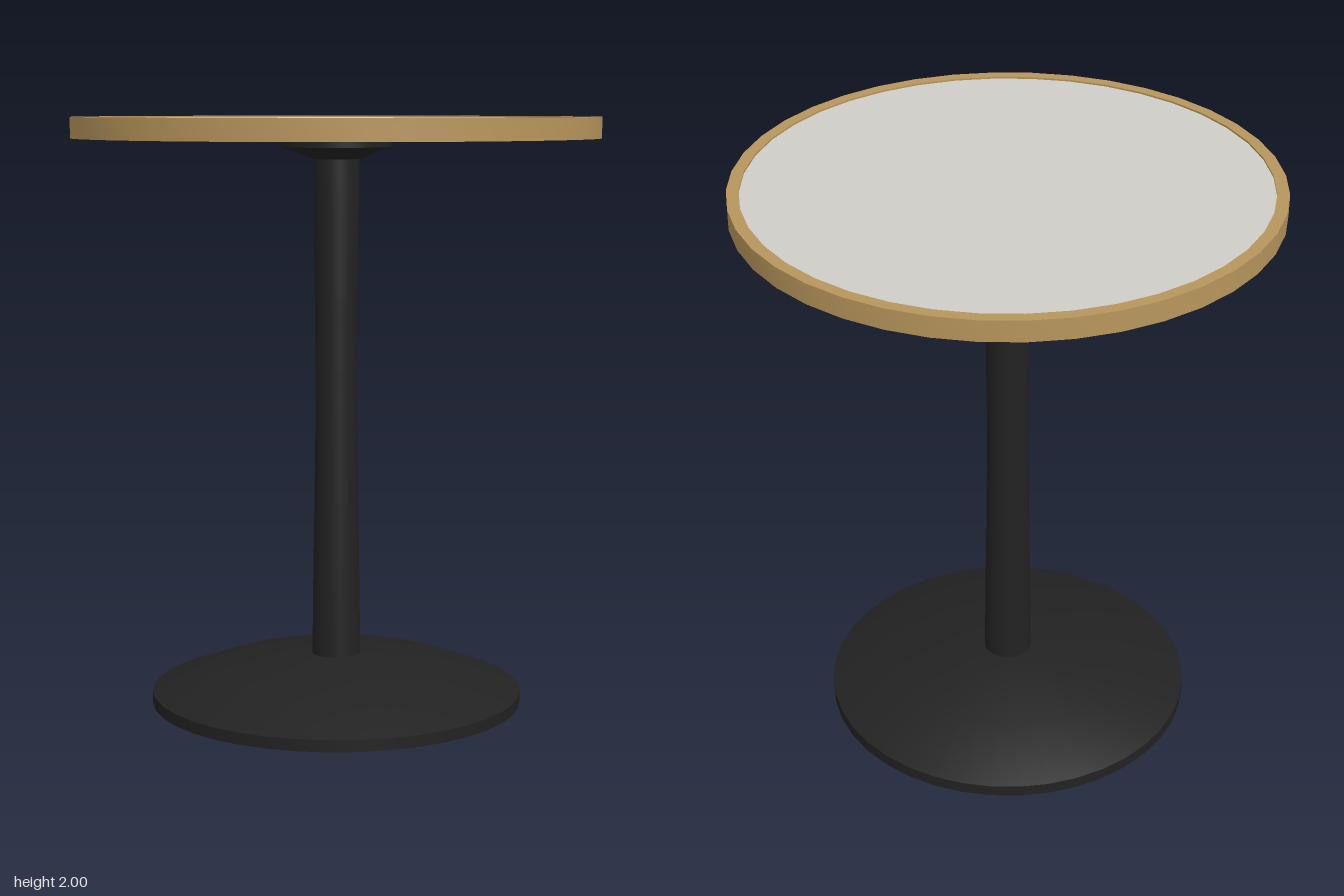
import * as THREE from 'three';
import { toCreasedNormals } from 'three/addons/utils/BufferGeometryUtils.js';

const SIDES = 40;

const mat = (name, color) => {
  const m = new THREE.MeshStandardMaterial({ color });
  m.name = name;
  return m;
};

// Turns a profile of [radius, height] points, listed bottom to top on the outside
function turned(name, points, material, crease = 0.5) {
  const profile = points.map(([r, y]) => new THREE.Vector2(r, y));
  const geometry = toCreasedNormals(new THREE.LatheGeometry(profile, SIDES), crease);
  const mesh = new THREE.Mesh(geometry, material);
  mesh.name = name;
  return mesh;
}

export function createModel() {
  const group = new THREE.Group();
  group.name = 'pedestalTable';

  const black = mat('black metal', 0x222222);
  const brass = mat('warm brass', 0xb8965c);
  const stone = mat('pale stone', 0xcfcdc8);

  // Low domed foot
  group.add(turned('base', [
    [0, 0], [0.635, 0], [0.635, 0.04], [0.42, 0.12], [0.12, 0.163], [0, 0.163],
  ], black));

  // Column with a slightly narrowed waist
  group.add(turned('column', [
    [0.083, 0.15], [0.08, 0.4], [0.075, 0.7], [0.071, 1.0],
    [0.071, 1.15], [0.073, 1.4], [0.077, 1.7], [0.079, 1.88],
  ], black));

  // Flared collar under the top
  group.add(turned('collar', [
    [0, 1.86], [0.08, 1.86], [0.185, 1.9], [0.185, 1.935], [0, 1.935],
  ], black));

  // Square-section edge band around the top
  group.add(turned('rim', [
    [0.845, 1.93], [0.885, 1.93], [0.885, 2], [0.845, 2], [0.845, 1.93],
  ], brass));

  // Inset round tabletop
  group.add(turned('tabletop', [
    [0, 1.934], [0.847, 1.934], [0.847, 1.994], [0, 1.994],
  ], stone));

  return group;
}
